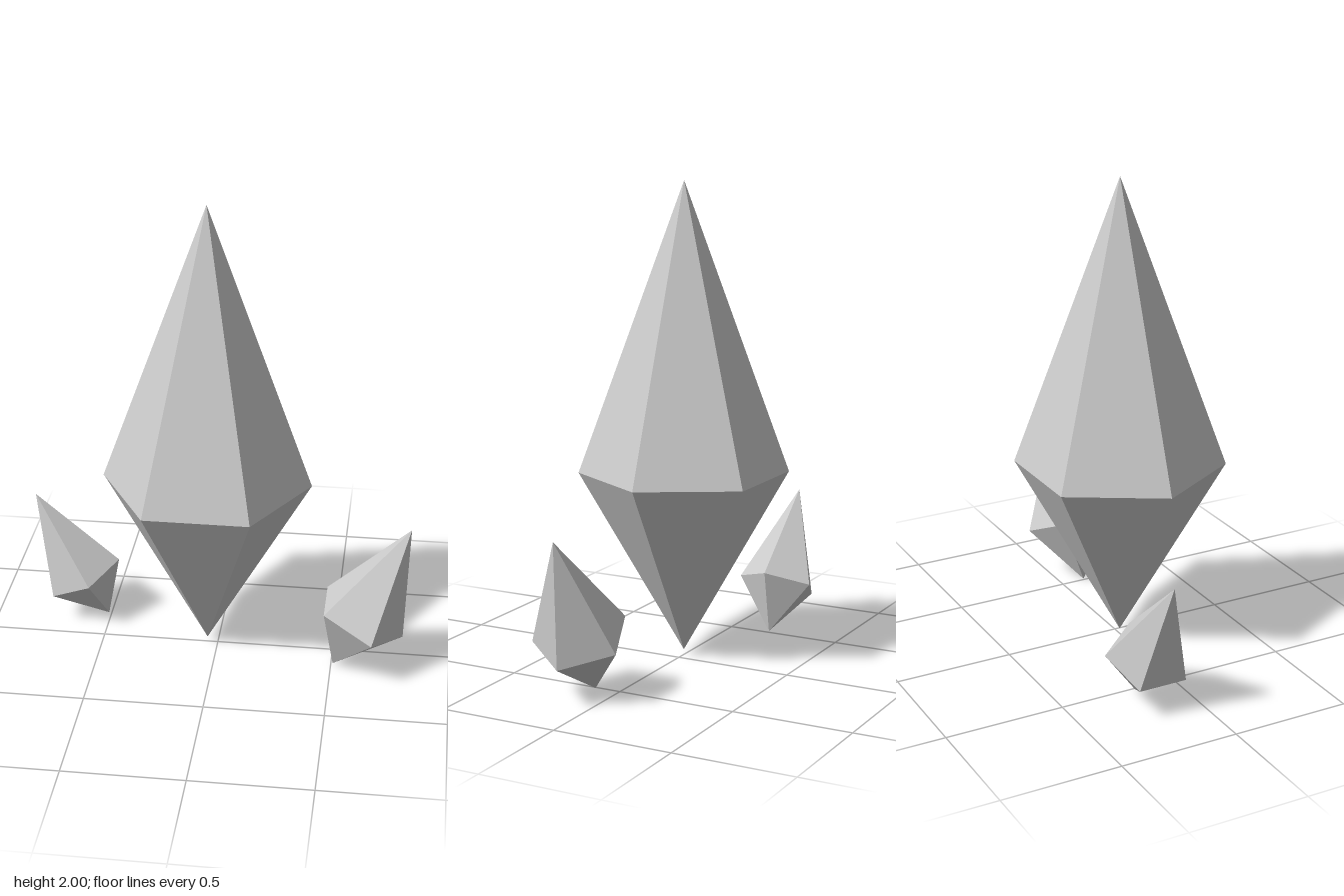
import * as THREE from 'three';
import { mergeGeometries } from 'three/addons/utils/BufferGeometryUtils.js';

const material = new THREE.MeshStandardMaterial({ color: 0xcccccc, flatShading: true });

// Double-pointed crystal; its widest ring sits at the origin with one corner on +x.
function crystal(name, sides, radius, upper, lower, position, tilt) {
  const top = new THREE.CylinderGeometry(0, radius, upper, sides, 1, true, Math.PI / 2);
  top.translate(0, upper / 2, 0);
  const bottom = new THREE.CylinderGeometry(radius, 0, lower, sides, 1, true, Math.PI / 2);
  bottom.translate(0, -lower / 2, 0);
  const mesh = new THREE.Mesh(mergeGeometries([top, bottom]), material);
  mesh.name = name;
  mesh.position.set(...position);
  mesh.rotation.z = tilt;
  return mesh;
}

export function createModel() {
  const group = new THREE.Group();
  group.name = 'crystalCluster';
  group.add(
    // Tall upright six-sided crystal
    crystal('mainCrystal', 6, 0.438, 1.205, 0.768, [-0.045, 0.795, 0], 0),
    // Small five-sided shards leaning outwards
    crystal('leftShard', 5, 0.2, 0.475, 0.263, [0.617, 0.243, 0.108], -0.43),
    crystal('rightShard', 5, 0.175, 0.437, 0.22, [-0.615, 0.2, -0.178], 0.49),
  );
  return group;
}
